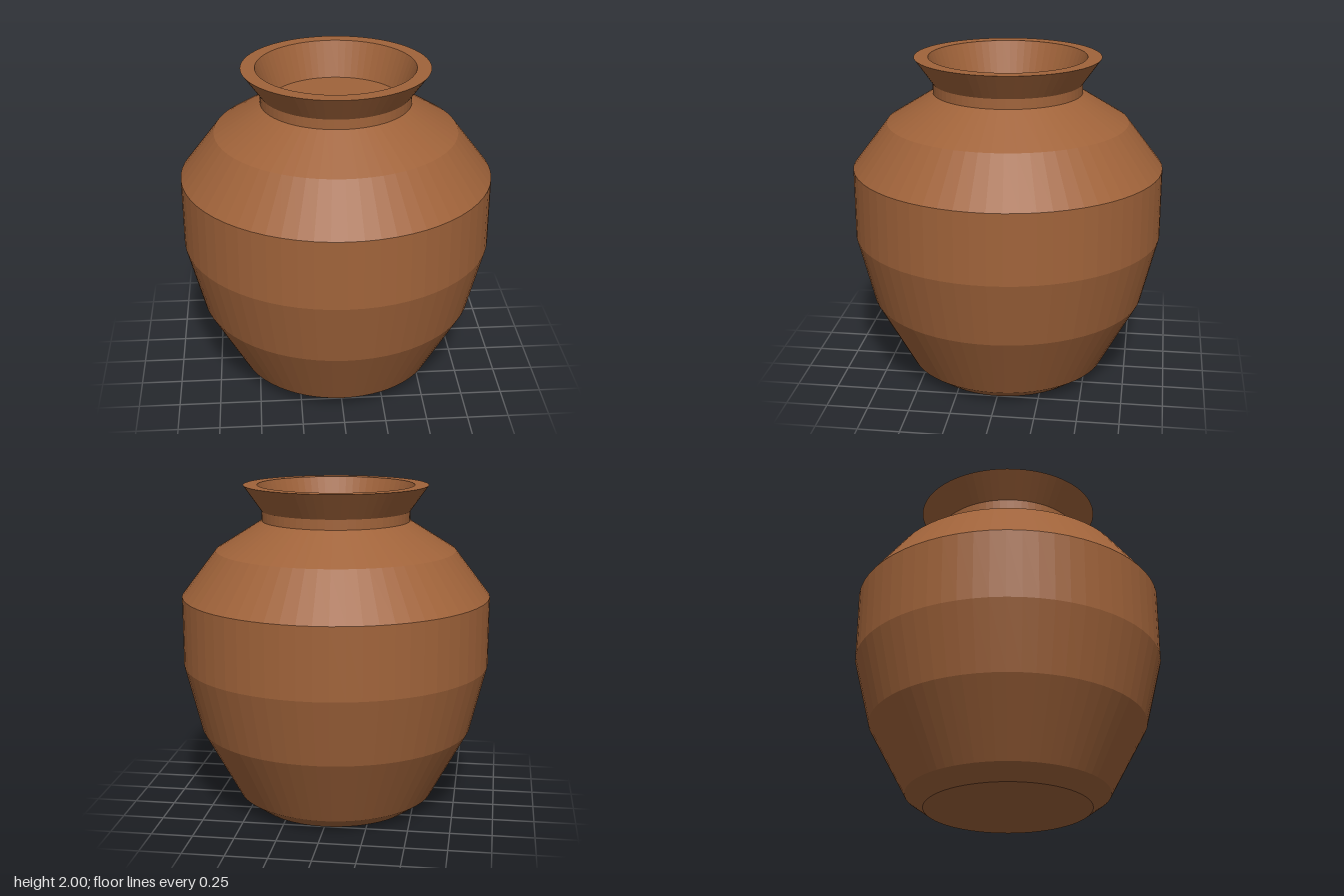
import * as THREE from 'three';

const SEGMENTS = 64;

export function createModel() {
  const clay = new THREE.MeshStandardMaterial({ color: 0xa0633a });
  clay.name = 'clay';
  clay.flatShading = true;

  const pot = new THREE.Group();
  pot.name = 'pot';

  // Revolve a profile of [radius, height] points
  const turn = (name, profile) => {
    const points = profile.map(([r, y]) => new THREE.Vector2(r, y));
    const mesh = new THREE.Mesh(new THREE.LatheGeometry(points, SEGMENTS), clay);
    mesh.name = name;
    pot.add(mesh);
  };

  // Closed body: base, belly, shoulder and the floor seen inside the neck
  turn('body', [
    [0, 0], [0.5, 0], [0.61, 0.08], [0.84, 0.505], [0.94, 0.91],
    [0.94, 1.335], [0.73, 1.61], [0.45, 1.785], [0, 1.785],
  ]);

  // Neck with flared lip and tapering inner wall
  turn('neck', [
    [0.45, 1.785], [0.45, 1.845], [0.56, 2], [0.475, 2], [0.4, 1.785],
  ]);

  return pot;
}
